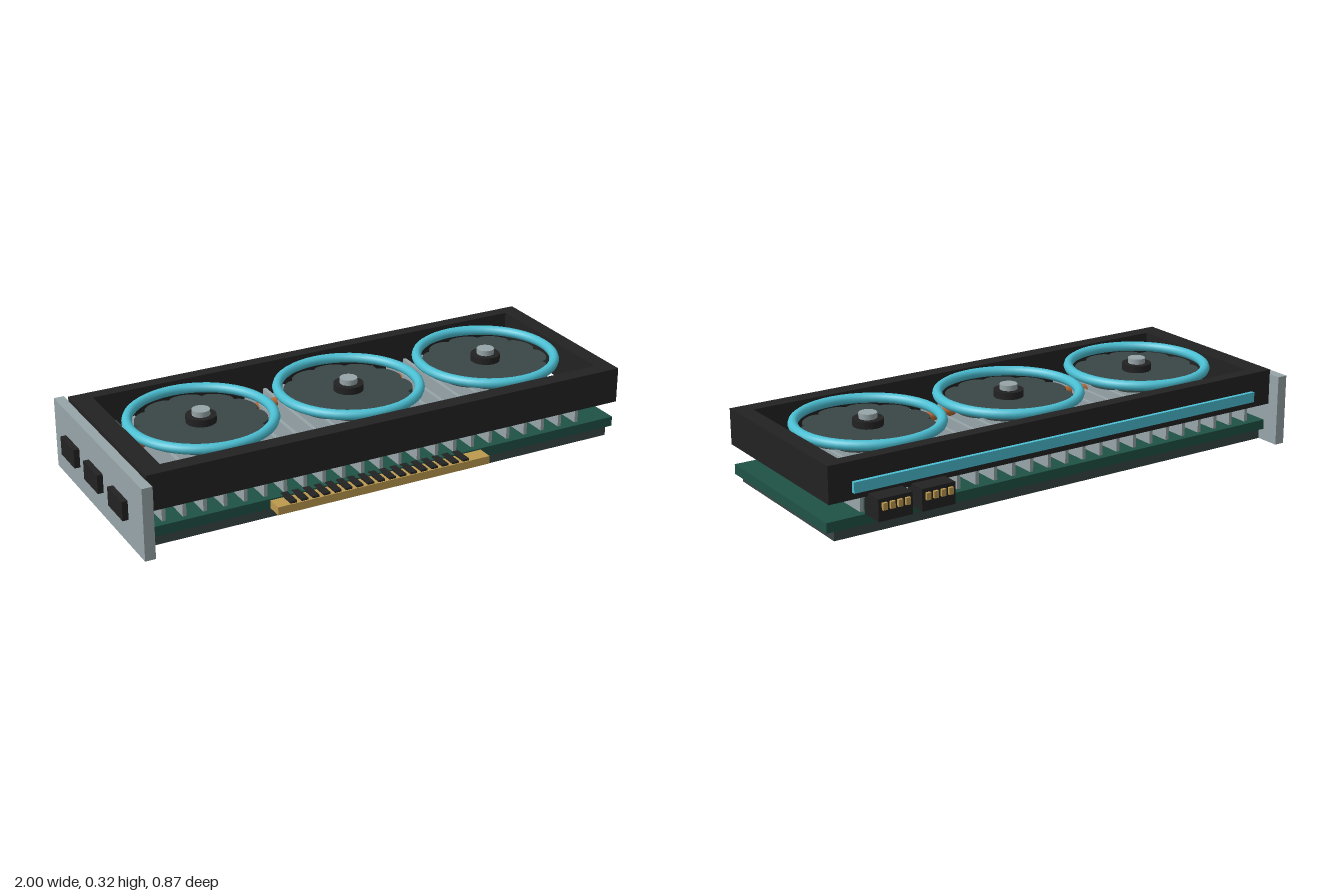
import * as THREE from 'three';

const mat = (name, color) => {
  const m = new THREE.MeshStandardMaterial({ color });
  m.name = name;
  return m;
};

export function createModel() {
  const black = mat('black plastic', 0x222222);
  const slate = mat('slate', 0x3a4646);
  const green = mat('board green', 0x1f5246);
  const steel = mat('steel', 0x97a5a8);
  const cyan = mat('cyan glow', 0x4bbfd3);
  const gold = mat('gold', 0xbd9a4e);
  const copper = mat('copper', 0xb96b3a);

  const model = new THREE.Group();
  model.name = 'graphicsCard';

  const add = (name, geometry, material, parent = model) => {
    const mesh = new THREE.Mesh(geometry, material);
    mesh.name = name;
    parent.add(mesh);
    return mesh;
  };
  // Box given by its limits on each axis
  const box = (name, material, [x0, x1], [y0, y1], [z0, z1], parent) => {
    const mesh = add(name, new THREE.BoxGeometry(x1 - x0, y1 - y0, z1 - z0), material, parent);
    mesh.position.set((x0 + x1) / 2, (y0 + y1) / 2, (z0 + z1) / 2);
    return mesh;
  };
  const disc = (name, material, r, y0, y1, x, z, sides, parent) => {
    const mesh = add(name, new THREE.CylinderGeometry(r, r, y1 - y0, sides), material, parent);
    mesh.position.set(x, (y0 + y1) / 2, z);
    return mesh;
  };

  // Circuit board, backplate and its screws
  box('circuitBoard', green, [-0.94, 1], [0.05, 0.088], [-0.333, 0.365]);
  box('backplate', slate, [-0.915, 0.972], [0.016, 0.05], [-0.332, 0.363]);
  for (const x of [-0.86, 0.917])
    for (const z of [-0.253, 0.284]) disc('backplateScrew', steel, 0.021, 0, 0.016, x, z, 12);

  // Shroud frame, open at top and bottom
  const rect = (Type, x0, x1, z0, z1) => {
    const p = new Type();
    p.moveTo(x0, -z0).lineTo(x0, -z1).lineTo(x1, -z1).lineTo(x1, -z0).closePath();
    return p;
  };
  const frame = rect(THREE.Shape, -0.94, 1, -0.355, 0.383);
  frame.holes.push(rect(THREE.Path, -0.863, 0.935, -0.305, 0.322));
  const shroud = add('shroud', new THREE.ExtrudeGeometry(frame, { depth: 0.138, bevelEnabled: false }), black);
  shroud.rotation.x = -Math.PI / 2;
  shroud.position.y = 0.16;

  // Heatsink fins
  const fins = new THREE.Group();
  fins.name = 'heatsinkFins';
  model.add(fins);
  for (let i = 0; i < 23; i++) {
    const x = -0.865 + i * 0.0779;
    box('fin', steel, [x - 0.007, x + 0.007], [0.086, 0.19], [-0.308, 0.34], fins);
  }

  // Arched heat pipes
  for (const z of [-0.193, 0.21]) {
    const path = new THREE.CatmullRomCurve3([
      [-0.745, 0.128], [-0.37, 0.164], [0.04, 0.185], [0.42, 0.164], [0.84, 0.123],
    ].map(([x, y]) => new THREE.Vector3(x, y, z)));
    add('heatPipe', new THREE.TubeGeometry(path, 24, 0.019, 10), copper);
    // End caps
    for (const t of [0, 1]) {
      const cap = add('heatPipeEnd', new THREE.CircleGeometry(0.019, 10), copper);
      const p = path.getPointAt(t);
      cap.position.copy(p);
      cap.lookAt(p.clone().addScaledVector(path.getTangentAt(t), t ? 1 : -1));
    }
  }

  // Fans: scalloped rotor, hub, cap and glowing ring
  const rotor = new THREE.Shape();
  const lobes = 11, steps = lobes * 8;
  for (let i = 0; i < steps; i++) {
    const a = (i / steps) * Math.PI * 2;
    const r = 0.222 + 0.022 * Math.sqrt(Math.abs(Math.sin((a * lobes) / 2)));
    rotor[i ? 'lineTo' : 'moveTo'](Math.cos(a) * r, Math.sin(a) * r);
  }
  rotor.closePath();
  const rotorGeometry = new THREE.ExtrudeGeometry(rotor, { depth: 0.02, bevelEnabled: false });
  rotorGeometry.rotateX(-Math.PI / 2);
  const ringGeometry = new THREE.TorusGeometry(0.267, 0.019, 10, 48);
  ringGeometry.rotateX(Math.PI / 2);
  for (const x of [-0.572, 0.032, 0.636]) {
    const fan = new THREE.Group();
    fan.name = 'fan';
    fan.position.set(x, 0, 0.014);
    model.add(fan);
    add('fanBlades', rotorGeometry, slate, fan).position.y = 0.25;
    add('fanRing', ringGeometry, cyan, fan).position.y = 0.285;
    disc('fanHub', black, 0.057, 0.24, 0.297, 0, 0, 20, fan);
    disc('fanCap', steel, 0.034, 0.29, 0.318, 0, 0, 12, fan);
  }

  // Mounting bracket and display ports
  box('bracket', steel, [-0.978, -0.938], [0.005, 0.28], [-0.406, 0.435]);
  for (const z of [-0.228, 0.002, 0.233])
    box('displayPort', black, [-1, -0.975], [0.102, 0.175], [z - 0.067, z + 0.067]);

  // Edge connector with dark contact slots
  box('edgeConnector', gold, [-0.47, 0.402], [0.052, 0.083], [0.36, 0.427]);
  for (let i = 0; i < 17; i++) {
    const x = -0.406 + i * 0.0443;
    box('contactSlot', black, [x - 0.013, x + 0.013], [0.082, 0.091], [0.343, 0.422]);
  }

  // Power sockets with gold pins
  for (const x of [0.612, 0.783]) {
    box('powerSocket', black, [x - 0.067, x + 0.067], [0.088, 0.17], [-0.424, -0.33]);
    for (let i = 0; i < 4; i++) {
      const px = x + (i - 1.5) * 0.03;
      box('powerPin', gold, [px - 0.009, px + 0.009], [0.13, 0.156], [-0.435, -0.42]);
    }
  }

  // Light strip along the back
  box('lightStrip', cyan, [-0.85, 0.91], [0.186, 0.226], [-0.37, -0.35]);

  return model;
}
